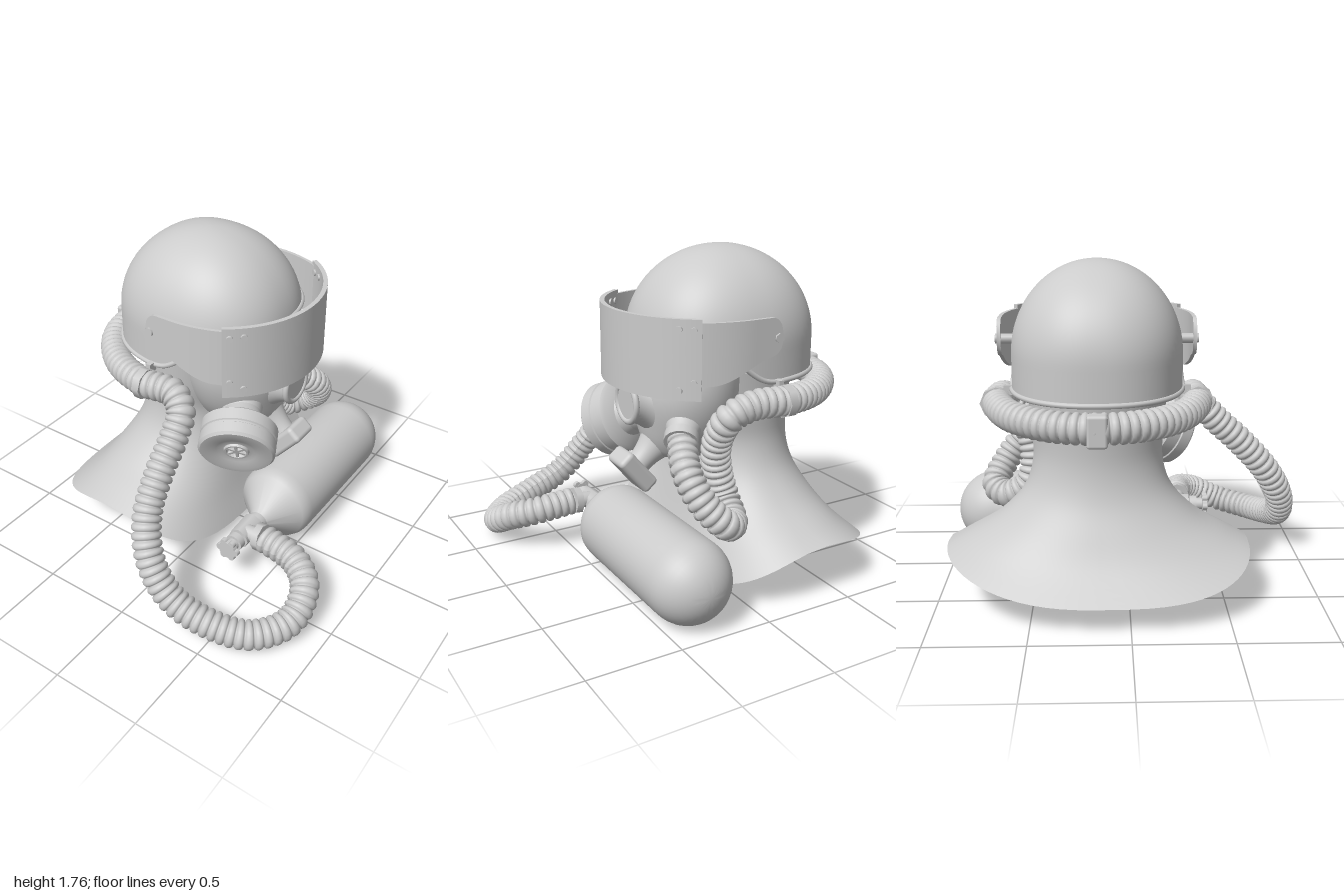
import * as THREE from 'three';
import { toCreasedNormals } from 'three/addons/utils/BufferGeometryUtils.js';
import { RoundedBoxGeometry } from 'three/addons/geometries/RoundedBoxGeometry.js';

const grey = new THREE.MeshStandardMaterial({ color: 0xcccccc });
const thin = new THREE.MeshStandardMaterial({ color: 0xcccccc, side: THREE.DoubleSide });
const CZ = -0.16; // middle plane of the head
const V = (x, y, z) => new THREE.Vector3(x, y, z);
const UP = V(0, 1, 0);
const smooth = THREE.MathUtils.smoothstep;

export function createModel() {
  const model = new THREE.Group();
  const add = (name, geometry, material = grey, parent = model) => {
    const mesh = new THREE.Mesh(geometry, material);
    mesh.name = name;
    parent.add(mesh);
    return mesh;
  };
  const lathe = (pts, seg) => toCreasedNormals(
    new THREE.LatheGeometry(pts.map(([r, y]) => new THREE.Vector2(r, y)), seg), 0.5);

  // Place a geometry that runs along y between two points
  const span = (name, geometry, a, b) => {
    const mesh = add(name, geometry);
    mesh.position.copy(a).lerp(b, 0.5);
    mesh.quaternion.setFromUnitVectors(UP, b.clone().sub(a).normalize());
  };
  const rod = (name, a, b, ra, rb = ra, sides = 24) =>
    span(name, new THREE.CylinderGeometry(rb, ra, a.distanceTo(b), sides), a, b);
  // Trumpet-shaped transition from the mask to a fitting
  const flare = (name, a, b, ra, rb) => span(name, lathe(Array.from({ length: 11 }, (_, i) =>
    [rb + (ra - rb) * (1 - i / 10) ** 2.2, a.distanceTo(b) * (i / 10 - 0.5)]), 40), a, b);

  // Closed rings, top to bottom, skinned into one smooth surface
  const loft = (rows, seg, point) => {
    const pos = [], index = [];
    for (let i = 0; i <= rows; i++) {
      for (let j = 0; j < seg; j++) {
        pos.push(...point(i / rows, (j / seg) * Math.PI * 2));
        if (i === rows) continue;
        const a = i * seg + j, b = i * seg + ((j + 1) % seg);
        index.push(a, b, a + seg, b, b + seg, a + seg);
      }
    }
    const g = new THREE.BufferGeometry();
    g.setAttribute('position', new THREE.Float32BufferAttribute(pos, 3));
    g.setIndex(index);
    g.computeVertexNormals();
    return g;
  };

  // Smooth interpolation in a table of section values
  const sample = (table, t) => {
    const f = t * (table.length - 1), i = Math.min(Math.floor(f), table.length - 2), u = f - i;
    const at = (k) => table[THREE.MathUtils.clamp(k, 0, table.length - 1)];
    return table[i].map((p, k) => {
      const m0 = (at(i + 1)[k] - at(i - 1)[k]) / 2, m1 = (at(i + 2)[k] - p) / 2, q = at(i + 1)[k];
      return p + u * m0 + u * u * (3 * (q - p) - 2 * m0 - m1) + u * u * u * (2 * (p - q) + m0 + m1);
    });
  };
  const power = (v, n) => Math.sign(v) * Math.abs(v) ** (2 / n);

  // Neck and shoulder cape: back x, front x, half width, y at back, front and side, squareness
  const cape = [
    [-0.63, 0.10, 0.37, 1.14, 1.14, 1.14, 2], [-0.60, 0.03, 0.35, 0.92, 0.92, 0.92, 2],
    [-0.59, -0.03, 0.34, 0.74, 0.74, 0.74, 2], [-0.62, -0.02, 0.39, 0.58, 0.55, 0.58, 2.2],
    [-0.69, 0.02, 0.52, 0.43, 0.38, 0.44, 2.5], [-0.78, 0.07, 0.68, 0.28, 0.21, 0.35, 3],
    [-0.91, 0.13, 0.79, 0.14, 0.06, 0.30, 3.5],
  ];
  add('neckCape', loft(30, 72, (t, a) => {
    const [x0, x1, rz, yb, yf, ys, square] = sample(cape, t);
    const back = Math.cos(a) < 0; // the back corners are rounder than the front ones
    const n = 2 + (square - 2) * (back ? (Math.sin(a) < 0 ? 0.25 : 0.7) : 1);
    const c = power(Math.cos(a), n), s = power(Math.sin(a), n);
    return [(x0 + x1) / 2 + c * (x1 - x0) / 2, ys + ((back ? yb : yf) - ys) * c * c, CZ + s * rz];
  }), thin);

  // Face mask: y, back x, front x, half width
  const face = [
    [1.45, -0.3, 0.20, 0.36], [1.25, -0.3, 0.24, 0.37], [1.1, -0.3, 0.27, 0.37], [0.97, -0.3, 0.28, 0.35],
    [0.84, -0.28, 0.26, 0.30], [0.72, -0.25, 0.23, 0.22], [0.65, -0.18, 0.17, 0.14], [0.63, 0, 0, 0],
  ];
  add('faceMask', loft(28, 48, (t, a) => {
    const [y, x0, x1, rz] = sample(face, t);
    return [(x0 + x1) / 2 + Math.cos(a) * (x1 - x0) / 2, y, CZ + Math.sin(a) * rz];
  }));

  // Helmet dome with the rim rising over the face
  const rimY = (a) => 1.1 + 0.25 * smooth(Math.cos(a), -0.1, 0.6);
  const domePoint = (y, a) => {
    const r = y > 1.28 ? Math.sqrt(Math.max(0, 1 - ((y - 1.28) / 0.48) ** 2)) : 1;
    return [-0.215 + 0.503 * r * power(Math.cos(a), 2.25), y, CZ + 0.446 * r * power(Math.sin(a), 2.25)];
  };
  add('helmet', loft(32, 72, (t, a) =>
    domePoint(rimY(a) + (1.76 - rimY(a)) * Math.cos(t * Math.PI / 2), a)), thin);
  const rim = Array.from({ length: 48 }, (_, i) => V(...domePoint(rimY(i * Math.PI / 24), i * Math.PI / 24)));
  add('helmetRim', new THREE.TubeGeometry(new THREE.CatmullRomCurve3(rim, true), 144, 0.014, 8, true));

  // Front lens in its housing
  flare('lensHousing', V(0.14, 0.95, CZ), V(0.34, 0.97, CZ), 0.26, 0.112);
  rod('lens', V(0.31, 0.97, CZ), V(0.35, 0.97, CZ), 0.1, 0.09, 40);
  const lensRing = add('lensRing', new THREE.TorusGeometry(0.105, 0.017, 12, 40));
  lensRing.position.set(0.343, 0.97, CZ);
  lensRing.rotation.y = Math.PI / 2;

  // Outlet duct under the chin
  flare('ductNeck', V(0.1, 0.78, CZ), V(0.29, 0.61, CZ), 0.17, 0.065);
  const duct = add('outletDuct', new RoundedBoxGeometry(0.1, 0.25, 0.17, 3, 0.025));
  duct.position.set(0.315, 0.59, CZ);
  duct.rotation.z = -0.7;

  // Curved visor plate
  const R = 0.558, half = 0.99, plan = new THREE.Shape();
  plan.absarc(0, 0, R, -half, half, false);
  plan.absarc(0, 0, R - 0.025, half, -half, true);
  const visor = add('visor', toCreasedNormals(
    new THREE.ExtrudeGeometry(plan, { depth: 0.405, bevelEnabled: false, curveSegments: 40 }).rotateX(-Math.PI / 2), 0.5));
  visor.position.set(-0.13, 1.07, CZ);

  for (const s of [1, -1]) {
    // Visor arm: a plate shaped and bent by rule, ending inside the visor
    const arm = new THREE.BoxGeometry(1, 1, 0.02, 32, 1, 1), p = arm.attributes.position;
    for (let i = 0; i < p.count; i++) {
      const u = p.getX(i) + 0.5, x = -0.27 + 0.47 * u;
      const end = Math.sqrt(1 - Math.max(0, 1 - u / 0.15) ** 2);
      const y = p.getY(i) > 0 ? 1.35 + 0.105 * end : 1.35 - 0.09 * end - 0.12 * smooth(u, 0.08, 0.85);
      const off = 0.508 - 0.82 * Math.max(0, x + 0.1) ** 2;
      p.setXYZ(i, x, y, CZ + s * off + p.getZ(i));
    }
    arm.computeVertexNormals();
    add('visorArm', toCreasedNormals(arm, 0.6));

    // Pivot and visor bolts
    rod('visorPivot', V(-0.24, 1.35, CZ + s * 0.42), V(-0.24, 1.35, CZ + s * 0.528), 0.026, 0.026, 6);
    for (const [angle, y] of [[0.92, 1.42], [0.79, 1.425], [0.92, 1.16], [0.79, 1.12]]) {
      const at = (r) => V(-0.13 + r * Math.cos(angle), y, CZ + s * r * Math.sin(angle));
      rod('visorBolt', at(R - 0.035), at(R + 0.012), 0.018, 0.018, 12);
    }
    // Hose clamp with its bracket on the rim
    rod('hoseClamp', V(-0.31, 1.02, CZ + s * 0.525), V(-0.265, 1.02, CZ + s * 0.525), 0.087, 0.087, 8);
    add('clampBracket', new THREE.BoxGeometry(0.03, 0.05, 0.05)).position.set(-0.29, 1.09, CZ + s * 0.46);
  }
  add('rearClamp', new RoundedBoxGeometry(0.075, 0.16, 0.1, 2, 0.015)).position.set(-0.838, 1.01, CZ);

  // Filter canister on the cheek
  const filter = new THREE.Group();
  filter.name = 'filter';
  filter.position.set(0.225, 0.76, 0.228);
  filter.quaternion.setFromUnitVectors(UP, V(0.4, -0.39, 0.83).normalize());
  model.add(filter);
  add('filterBody', lathe([[0, -0.2], [0.1, -0.2], [0.13, -0.12], [0.19, -0.1], [0.209, -0.085], [0.209, -0.02],
    [0.202, -0.015], [0.202, -0.005], [0.209, 0], [0.209, 0.06], [0.196, 0.074], [0.17, 0.074],
    [0.11, 0.062], [0.09, 0.055], [0.07, 0.055], [0.065, 0.068], [0.055, 0.068], [0.05, 0.045], [0, 0.045]], 56),
  grey, filter);
  for (let i = 0; i < 3; i++) {
    const spoke = add('filterGrille', new THREE.BoxGeometry(0.11, 0.02, 0.014), grey, filter);
    spoke.position.y = 0.055;
    spoke.rotation.y = i * Math.PI / 3;
  }
  flare('filterSocket', V(0.05, 0.89, -0.06), V(0.17, 0.81, 0.11), 0.2, 0.11);

  // Air tank lying along z
  const cap = Array.from({ length: 11 }, (_, i) =>
    [0.222 * Math.sin(i * Math.PI / 20), -0.78 - 0.22 * Math.cos(i * Math.PI / 20)]);
  const tank = add('airTank', lathe([...cap, [0.222, -0.04], [0.218, 0], [0.202, 0.035], [0.07, 0.16],
    [0.055, 0.185], [0.055, 0.25], [0, 0.25]], 48));
  tank.rotation.x = Math.PI / 2;
  tank.position.set(0.34, 0.225, 0);

  // Tank valve, lobed hand knob and hose coupling
  rod('valveBody', V(0.335, 0.235, 0.23), V(0.335, 0.235, 0.38), 0.065, 0.06, 8);
  rod('valveStem', V(0.335, 0.235, 0.37), V(0.335, 0.235, 0.47), 0.035);
  rod('valveCollar', V(0.335, 0.235, 0.39), V(0.335, 0.235, 0.43), 0.05);
  rod('valveKnob', V(0.335, 0.235, 0.465), V(0.335, 0.235, 0.495), 0.052);
  for (let i = 0; i < 6; i++) {
    const x = 0.335 + 0.05 * Math.cos(i * Math.PI / 3), y = 0.235 + 0.05 * Math.sin(i * Math.PI / 3);
    rod('knobLobe', V(x, y, 0.467), V(x, y, 0.493), 0.019, 0.019, 12);
  }
  rod('valveOutlet', V(0.33, 0.245, 0.32), V(0.5, 0.26, 0.32), 0.045);
  rod('hoseCoupling', V(0.42, 0.255, 0.32), V(0.46, 0.258, 0.32), 0.078, 0.078, 8);

  // Cheek port where the hose enters the mask
  flare('hosePort', V(0.07, 0.91, -0.31), V(0.18, 0.82, -0.44), 0.19, 0.08);
  rod('portCollar', V(0.165, 0.835, -0.42), V(0.19, 0.81, -0.455), 0.09, 0.09, 16);

  // One ribbed hose: mask, hanging loop, round the helmet, down to the tank
  const path = new THREE.CatmullRomCurve3([
    [0.17, 0.83, -0.43], [0.235, 0.7, -0.59], [0.2, 0.56, -0.70], [0.1, 0.45, -0.75], [0.01, 0.42, -0.67],
    [-0.02, 0.5, -0.55], [0.01, 0.65, -0.52], [0.04, 0.82, -0.56], [0.02, 0.97, -0.65], [-0.1, 1.02, -0.67],
    [-0.3, 1.02, -0.68], [-0.55, 1.01, -0.58], [-0.74, 1.01, -0.38], [-0.797, 1.01, CZ], [-0.74, 1.01, 0.06],
    [-0.55, 1.01, 0.26], [-0.3, 1.02, 0.36], [-0.1, 1.02, 0.355], [-0.02, 0.96, 0.40], [0, 0.86, 0.49],
    [0.01, 0.72, 0.64], [0.04, 0.55, 0.79], [0.13, 0.37, 0.89], [0.28, 0.21, 0.92], [0.5, 0.125, 0.89],
    [0.7, 0.087, 0.8], [0.82, 0.105, 0.62], [0.8, 0.185, 0.45], [0.68, 0.23, 0.35], [0.46, 0.26, 0.32],
  ].map((q) => V(...q)));
  path.arcLengthDivisions = 2000;
  const ribs = 132, steps = 8, sides = 18;
  const hose = new THREE.TubeGeometry(path, ribs * steps, 0.06, sides);
  const hp = hose.attributes.position, hn = hose.attributes.normal;
  for (let i = 0; i < hp.count; i++) {
    const ring = Math.floor(i / (sides + 1));
    const bulge = 0.02 * Math.sqrt(Math.abs(Math.sin(Math.PI * ring / steps)));
    hp.setXYZ(i, hp.getX(i) + hn.getX(i) * bulge, hp.getY(i) + hn.getY(i) * bulge, hp.getZ(i) + hn.getZ(i) * bulge);
  }
  hose.computeVertexNormals();
  add('ribbedHose', hose);

  return model;
}
